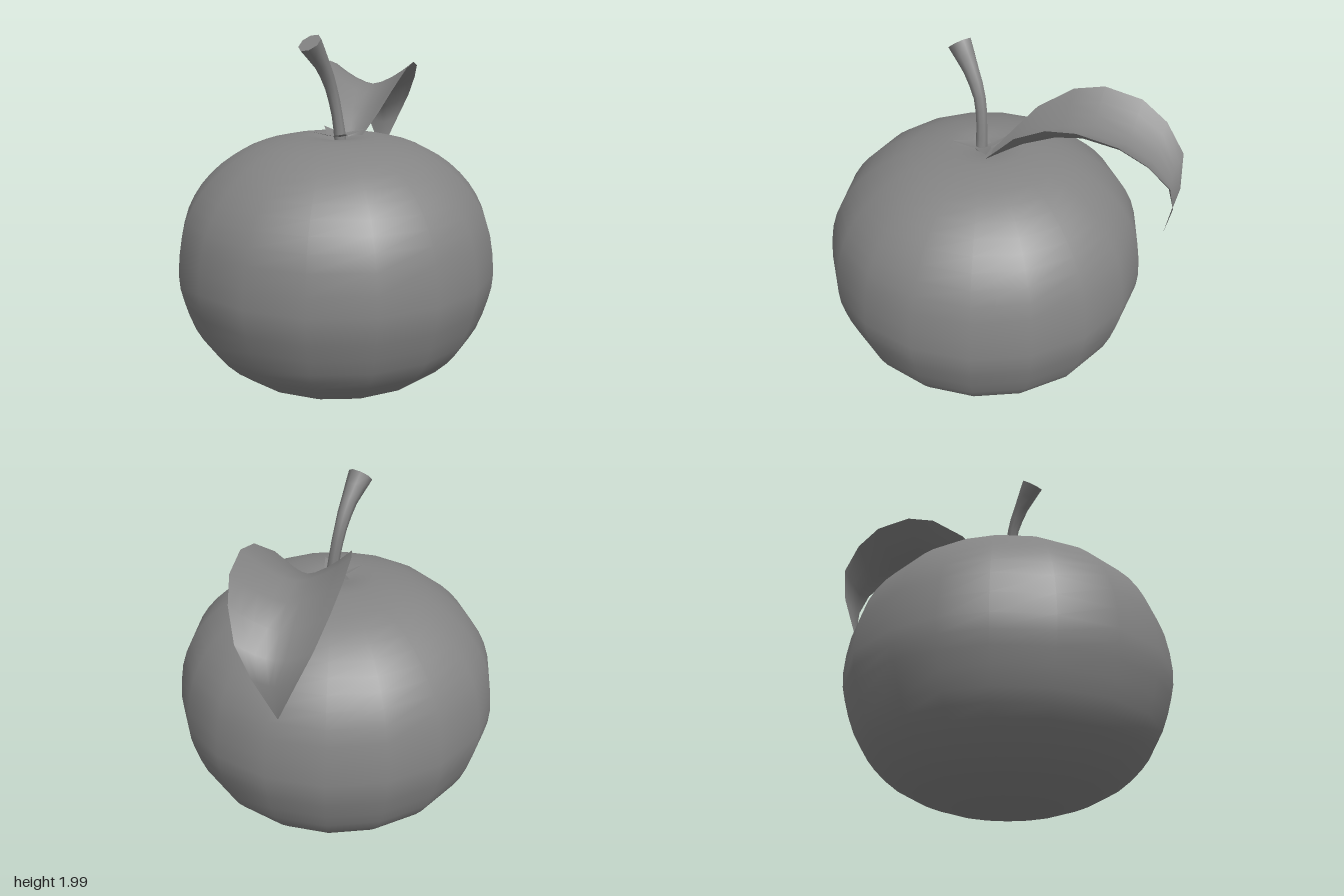
import * as THREE from 'three';

const skin = new THREE.MeshStandardMaterial({ color: 0x848484 });
const thin = new THREE.MeshStandardMaterial({ color: 0x848484, side: THREE.DoubleSide });

// Smooth surface through rows of points; wrap closes each row into a ring
function loft(rows, wrap = false) {
  const n = rows[0].length, index = [];
  const last = wrap ? n : n - 1;
  for (let i = 0; i < rows.length - 1; i++) {
    for (let j = 0; j < last; j++) {
      const k = (j + 1) % n;
      const a = i * n + j, b = i * n + k, c = a + n, d = b + n;
      index.push(a, b, d, a, d, c);
    }
  }
  const geo = new THREE.BufferGeometry().setFromPoints(rows.flat());
  geo.setIndex(index);
  geo.computeVertexNormals();
  return geo;
}

// Squat round fruit with a shallow dimple under the stem and slightly uneven sides
function makeFruit() {
  const profile = new THREE.SplineCurve([
    [0, 0], [0.24, 0.008], [0.43, 0.055], [0.6, 0.135], [0.74, 0.26], [0.82, 0.38],
    [0.88, 0.56], [0.902, 0.71], [0.875, 0.93], [0.81, 1.09], [0.71, 1.22],
    [0.58, 1.325], [0.42, 1.4], [0.22, 1.438], [0.1, 1.43], [0, 1.41],
  ].map(([r, y]) => new THREE.Vector2(r, y))).getPoints(30);
  const angles = [0, 20, 40, 60, 80, 100, 120, 140, 160, 180, 202, 218, 234, 254, 275, 296, 317, 339];
  const rows = profile.map(({ x: r, y }) => angles.map((degrees) => {
    const a = THREE.MathUtils.degToRad(degrees);
    return new THREE.Vector3(r * Math.sin(a), y, r * Math.cos(a));
  }));
  const fruit = new THREE.Mesh(loft(rows, true), skin);
  fruit.position.x = -0.022;
  fruit.name = 'fruit';
  return fruit;
}

// Bent stem that flares to a flat cut end
function makeStem() {
  const stem = new THREE.Group();
  stem.name = 'stem';
  const path = new THREE.CatmullRomCurve3([
    [-0.01, 1.41, 0.03], [-0.025, 1.55, 0.02], [-0.06, 1.7, 0.015],
    [-0.12, 1.82, 0.03], [-0.222, 1.953, 0.055],
  ].map((p) => new THREE.Vector3(...p)));
  const radii = [0.034, 0.031, 0.034, 0.044, 0.067];
  const steps = 8, sides = 8;
  const frames = path.computeFrenetFrames(steps);
  const rings = [];
  for (let i = 0; i <= steps; i++) {
    const t = (i / steps) * (radii.length - 1);
    const k = Math.min(Math.floor(t), radii.length - 2);
    const r = THREE.MathUtils.lerp(radii[k], radii[k + 1], t - k);
    const centre = path.getPointAt(i / steps);
    rings.push(Array.from({ length: sides }, (_, j) => {
      const a = (j / sides) * Math.PI * 2;
      return centre.clone()
        .addScaledVector(frames.normals[i], r * Math.cos(a))
        .addScaledVector(frames.binormals[i], r * Math.sin(a));
    }));
  }
  const stalk = new THREE.Mesh(loft(rings, true), thin);
  stalk.name = 'stalk';
  const end = rings[steps];
  const hub = end.map(() => path.getPointAt(1));
  const cut = new THREE.Mesh(loft([end, hub], true), thin);
  cut.name = 'cutEnd';
  stem.add(stalk, cut);
  return stem;
}

// Four pointed sepals around the stem, tips lifted
function makeCalyx() {
  const calyx = new THREE.Group();
  calyx.name = 'calyx';
  calyx.position.set(-0.02, 1.435, 0.02);
  for (const degrees of [-18, 84, 162, 250]) {
    const rows = [[0, 0.05, 0], [0.06, 0.04, 0.01], [0.165, 0.001, 0.04]].map(([x, w, y]) =>
      [-w, 0, w].map((z) => new THREE.Vector3(x, y + Math.abs(z) * 0.15, z)));
    const sepal = new THREE.Mesh(loft(rows), thin);
    sepal.rotation.y = THREE.MathUtils.degToRad(degrees);
    sepal.name = 'sepal';
    calyx.add(sepal);
  }
  return calyx;
}

// Arching leaf, channelled along the middle and flattening to a drooping tip
function makeLeaf() {
  // middle reach, middle height, edge reach, edge height, half width
  const stations = [
    [0, 1.42, 0, 1.44, 0.055],
    [0.1, 1.49, 0.1, 1.555, 0.125],
    [0.2, 1.555, 0.2, 1.67, 0.185],
    [0.375, 1.635, 0.375, 1.78, 0.24],
    [0.53, 1.67, 0.53, 1.81, 0.262],
    [0.72, 1.65, 0.73, 1.775, 0.258],
    [0.86, 1.58, 0.87, 1.69, 0.228],
    [0.955, 1.48, 0.98, 1.56, 0.175],
    [0.99, 1.37, 1.0, 1.4, 0.1],
    [0.96, 1.18, 0.96, 1.18, 0.003],
  ];
  const across = [-1, -0.75, -0.5, -0.25, 0, 0.25, 0.5, 0.75, 1];
  const rows = stations.map(([s, y, se, ye, w]) => across.map((t) => {
    const lift = Math.abs(t) ** 1.6;
    return new THREE.Vector3(
      THREE.MathUtils.lerp(s, se, lift), THREE.MathUtils.lerp(y, ye, lift), t * w);
  }));
  const leaf = new THREE.Mesh(loft(rows), thin);
  leaf.position.set(0.08, 0, 0.025);
  leaf.rotation.y = Math.atan2(0.66, 0.7);
  leaf.name = 'leaf';
  return leaf;
}

export function createModel() {
  const model = new THREE.Group();
  model.name = 'fruitWithLeaf';
  model.add(makeFruit(), makeStem(), makeCalyx(), makeLeaf());
  return model;
}
